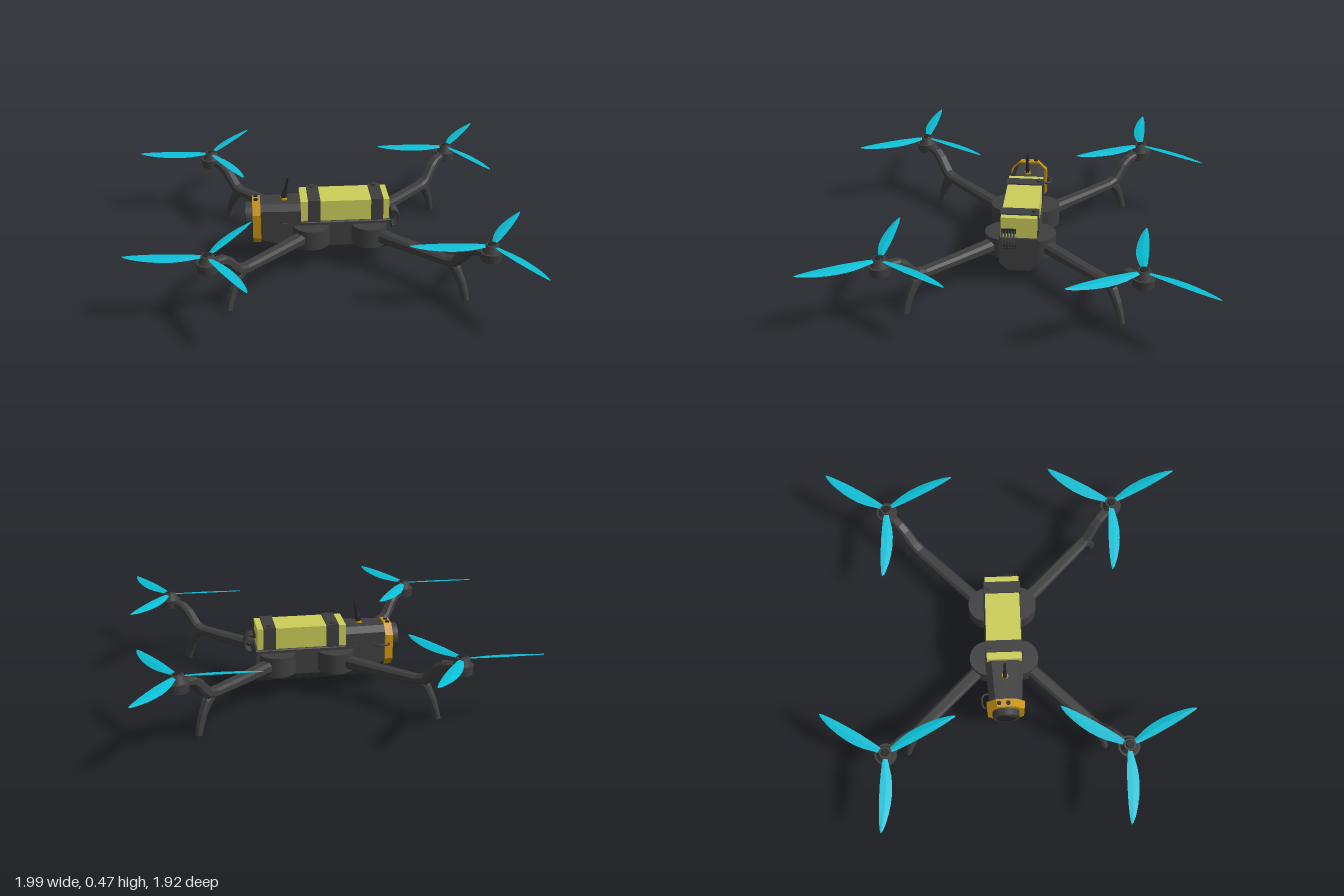
import * as THREE from 'three';

const paint = (color, flat = true) => new THREE.MeshStandardMaterial({ color, flatShading: flat });
const dark = paint(0x3e3e3e), darkSmooth = paint(0x3e3e3e, false), black = paint(0x262626);
const orange = paint(0xc8920c), yellow = paint(0xcbcd58), cyan = paint(0x0abfd6);
const CX = 0.083, CZ = -0.015; // centre of the airframe

function add(parent, name, geometry, material, x = 0, y = 0, z = 0) {
  const mesh = new THREE.Mesh(geometry, material);
  mesh.name = name;
  mesh.position.set(x, y, z);
  parent.add(mesh);
  return mesh;
}

// Closed skin over rings of points, each ring counter-clockwise seen from its forward side
function loft(rings) {
  const n = rings[0].length, pos = [], index = [];
  rings.forEach(r => r.forEach(p => pos.push(...p)));
  for (let k = 0; k < rings.length - 1; k++) {
    for (let i = 0; i < n; i++) {
      const a = k * n + i, b = k * n + (i + 1) % n;
      index.push(a, b, b + n, a, b + n, a + n);
    }
  }
  const end = (rings.length - 1) * n;
  for (let i = 1; i < n - 1; i++) index.push(0, i + 1, i, end, end + i, end + i + 1);
  const g = new THREE.BufferGeometry();
  g.setAttribute('position', new THREE.Float32BufferAttribute(pos, 3));
  g.setIndex(index);
  const flat = g.toNonIndexed();
  flat.computeVertexNormals();
  return flat;
}

// Section across x: separate chamfers at top and bottom
function section(x, y0, y1, w, top, bottom) {
  return [[y1, -w + top], [y1, w - top], [y1 - top, w], [y0 + bottom, w],
    [y0, w - bottom], [y0, -w + bottom], [y0 + bottom, -w], [y1 - top, -w]].map(([y, z]) => [x, y, z]);
}

// Chamfered bar following [x, y, halfThickness, halfWidth] stations in the xy plane
function bar(stations) {
  return loft(stations.map(([x, y, h, w], i) => {
    const p = stations[Math.max(i - 1, 0)], q = stations[Math.min(i + 1, stations.length - 1)];
    const l = Math.hypot(q[0] - p[0], q[1] - p[1]);
    const nx = -(q[1] - p[1]) / l, ny = (q[0] - p[0]) / l;
    return [[1, -0.6], [1, 0.6], [0.5, 1], [-0.5, 1], [-1, 0.6], [-1, -0.6], [-0.5, -1], [0.5, -1]]
      .map(([a, b]) => [x + nx * a * h, y + ny * a * h, b * w]);
  }));
}

function bladeGeometry() {
  // radius, trailing edge, leading edge
  const plan = [[0.02, -0.010, 0.010], [0.06, -0.019, 0.017], [0.11, -0.030, 0.022], [0.16, -0.035, 0.026],
    [0.21, -0.034, 0.028], [0.26, -0.028, 0.029], [0.31, -0.018, 0.029], [0.36, -0.003, 0.027],
    [0.39, 0.010, 0.024], [0.4, 0.018, 0.021]];
  return loft(plan.map(([r, a, b]) => {
    const m = (a + b) / 2, t = 0.003, tilt = 0.2;
    return [[r, m * tilt + t, m], [r, b * tilt, b], [r, m * tilt - t, m], [r, a * tilt, a]];
  }));
}

function createArm(blade) {
  const arm = new THREE.Group();
  arm.name = 'arm';
  add(arm, 'armHub', new THREE.CylinderGeometry(0.095, 0.095, 0.105, 32), darkSmooth, 0, 0.183, 0);
  add(arm, 'armBeam', bar([[0.03, 0.181, 0.032, 0.034], [0.3, 0.184, 0.026, 0.032], [0.5, 0.188, 0.023, 0.03],
    [0.55, 0.2, 0.026, 0.029], [0.585, 0.235, 0.027, 0.028], [0.615, 0.272, 0.026, 0.027],
    [0.65, 0.298, 0.023, 0.026], [0.69, 0.306, 0.02, 0.025], [0.745, 0.306, 0.018, 0.025]]), dark);
  add(arm, 'landingLeg', bar([[0.51, 0.198, 0.026, 0.026], [0.555, 0.155, 0.024, 0.023], [0.588, 0.1, 0.02, 0.019],
    [0.61, 0.045, 0.018, 0.016], [0.622, 0.002, 0.017, 0.015]]), dark);
  // Motor: base can, tapered bell, shaft cap
  add(arm, 'motorBase', new THREE.CylinderGeometry(0.056, 0.052, 0.046, 24), darkSmooth, 0.748, 0.304, 0);
  add(arm, 'motorBell', new THREE.CylinderGeometry(0.031, 0.046, 0.037, 24), darkSmooth, 0.748, 0.345, 0);
  add(arm, 'motorCap', new THREE.CylinderGeometry(0.018, 0.022, 0.008, 16), black, 0.748, 0.366, 0);
  return arm;
}

export function createModel() {
  const model = new THREE.Group();
  model.name = 'quadcopter';

  // Fuselage
  const body = new THREE.Group();
  body.name = 'body';
  body.position.z = CZ;
  model.add(body);
  add(body, 'lowerHull', loft([section(-0.335, 0.118, 0.255, 0.084, 0.005, 0.035),
    section(-0.19, 0.07, 0.255, 0.094, 0.005, 0.045), section(-0.1, 0.07, 0.255, 0.1, 0.005, 0.045),
    section(0.348, 0.07, 0.255, 0.1, 0.005, 0.045)]), dark);
  add(body, 'nosePod', loft([section(-0.34, 0.125, 0.345, 0.084, 0.03, 0.03),
    section(-0.125, 0.125, 0.348, 0.098, 0.03, 0.03)]), dark);

  // Camera at the nose
  add(body, 'noseRing', loft([section(-0.377, 0.12, 0.35, 0.095, 0.05, 0.05),
    section(-0.335, 0.12, 0.353, 0.1, 0.05, 0.05)]), orange);
  const along = (name, r, len, x, mat) => {
    const m = add(body, name, new THREE.CylinderGeometry(r, r, len, 28), mat, x, 0.262, 0);
    m.rotation.z = Math.PI / 2;
  };
  along('cameraBarrel', 0.07, 0.04, -0.392, darkSmooth);
  along('cameraLens', 0.05, 0.006, -0.413, black);
  for (const z of [-0.035, 0.012]) {
    add(body, 'ringScrew', new THREE.CylinderGeometry(0.011, 0.011, 0.008, 12), black, -0.357, 0.354, z);
  }
  const loop = new THREE.CatmullRomCurve3([[-0.352, -0.085], [-0.352, -0.112], [-0.335, -0.121], [-0.295, -0.121],
    [-0.28, -0.11], [-0.28, -0.08]].map(([x, z]) => new THREE.Vector3(x, 0.255, z)));
  add(body, 'cableLoop', new THREE.TubeGeometry(loop, 24, 0.005, 8), darkSmooth);

  // Antenna
  add(body, 'antennaCollar', new THREE.CylinderGeometry(0.016, 0.018, 0.012, 16), orange, -0.21, 0.352, 0);
  add(body, 'antenna', bar([[-0.212, 0.345, 0.016, 0.011], [-0.203, 0.385, 0.013, 0.009],
    [-0.199, 0.4, 0.008, 0.007], [-0.187, 0.468, 0.005, 0.005]]), black);

  // Battery with straps
  add(body, 'battery', new THREE.BoxGeometry(0.465, 0.112, 0.182), yellow, 0.107, 0.313, 0);
  for (const x of [-0.055, 0.276]) {
    add(body, 'strap', new THREE.BoxGeometry(0.064, 0.125, 0.194), dark, x, 0.313, 0);
    add(body, 'strapBuckle', new THREE.CylinderGeometry(0.014, 0.014, 0.012, 12), dark, x, 0.381, -0.075);
  }

  // Battery leads at the tail
  add(body, 'upperPlug', new THREE.BoxGeometry(0.014, 0.022, 0.075), black, 0.344, 0.297, 0.05);
  add(body, 'lowerPlug', new THREE.BoxGeometry(0.014, 0.022, 0.075), black, 0.352, 0.212, 0.05);
  for (let i = 0; i < 5; i++) {
    const z = 0.02 + i * 0.015;
    const lead = new THREE.CatmullRomCurve3([[0.34, 0.298], [0.375, 0.296], [0.395, 0.27], [0.395, 0.235],
      [0.378, 0.213], [0.35, 0.21]].map(([x, y]) => new THREE.Vector3(x, y, z)));
    add(body, 'batteryLead', new THREE.TubeGeometry(lead, 20, 0.0045, 6), darkSmooth);
  }

  // Four arms, each with a three-bladed propeller in the same orientation
  const blade = bladeGeometry();
  for (const sx of [-1, 1]) {
    for (const sz of [-1, 1]) {
      const arm = createArm();
      arm.position.set(CX + sx * 0.153, 0, CZ + sz * 0.087);
      arm.rotation.y = Math.atan2(-sz, sx);
      model.add(arm);
      const propeller = new THREE.Group();
      propeller.name = 'propeller';
      propeller.position.set(CX + sx * 0.685, 0.356, CZ + sz * 0.615);
      for (let k = 0; k < 3; k++) {
        add(propeller, 'blade', blade, cyan).rotation.y = Math.PI + k * Math.PI * 2 / 3;
      }
      model.add(propeller);
    }
  }
  return model;
}
